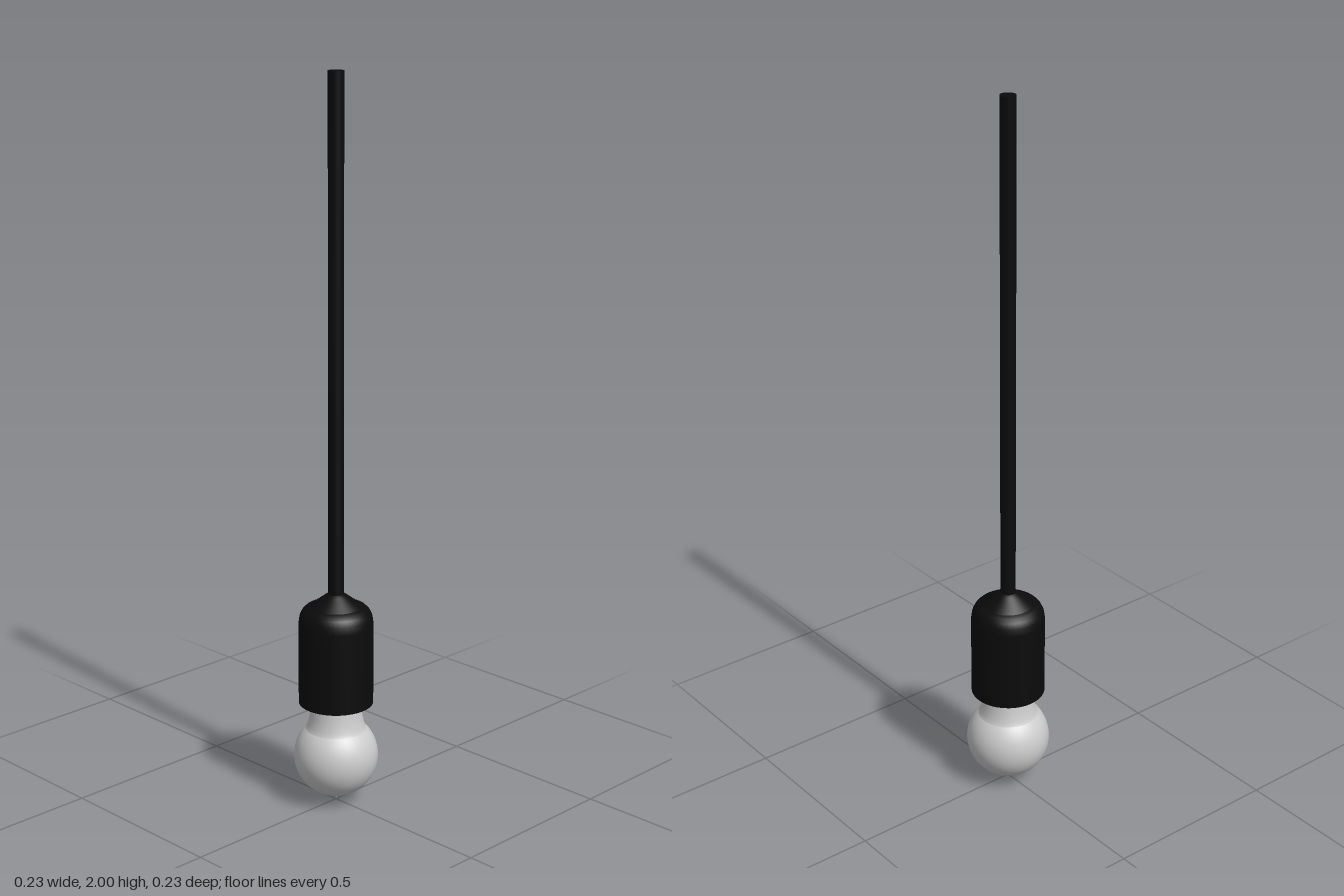
import * as THREE from 'three';

const SEGMENTS = 40;
const BLACK = 0x0b0b0b;

function part(name, geometry, color, side = THREE.FrontSide) {
  const mesh = new THREE.Mesh(geometry, new THREE.MeshStandardMaterial({ color, side }));
  mesh.name = name;
  return mesh;
}

// Revolve runs of [radius, y]; a separate run starts at every sharp edge.
function turned(name, runs, color) {
  const group = new THREE.Group();
  group.name = name;
  runs.forEach((run, i) => {
    const points = run.map(([r, y]) => new THREE.Vector2(r, y));
    group.add(part(`${name}Section${i + 1}`, new THREE.LatheGeometry(points, SEGMENTS), color, THREE.DoubleSide));
  });
  return group;
}

export function createModel() {
  const model = new THREE.Group();
  model.name = 'pendantLamp';

  // Hanging cable
  const cable = part('cable', new THREE.CylinderGeometry(0.021, 0.021, 1.42, 24), BLACK);
  cable.position.y = 1.29;
  model.add(cable);

  // Hollow lamp holder: inner roof and wall, lower rim, outer wall, shoulder, cable collar
  model.add(turned('socket', [
    [[0, 0.5], [0.092, 0.5]],
    [[0.092, 0.5], [0.092, 0.292]],
    [[0.092, 0.292], [0.102, 0.292]],
    [[0.102, 0.292], [0.102, 0.52], [0.099, 0.541], [0.092, 0.556], [0.083, 0.565], [0.07, 0.57]],
    [[0.07, 0.57], [0.03, 0.6], [0.021, 0.605]],
  ], BLACK));

  // Glass globe, cut where the neck joins it
  const globe = part('bulbGlobe', new THREE.SphereGeometry(0.116, SEGMENTS, 24, 0, Math.PI * 2, 0.8, Math.PI - 0.8), 0xcccccc, THREE.DoubleSide);
  globe.position.y = 0.136;
  model.add(globe);

  // Flared bulb neck, running up into the holder
  model.add(turned('bulbNeck', [
    [[0.084, 0.216], [0.078, 0.227], [0.073, 0.25], [0.067, 0.285], [0.064, 0.32], [0.06, 0.36], [0.06, 0.5]],
  ], 0xcccccc));

  // Small tip under the globe
  const tip = part('bulbTip', new THREE.ConeGeometry(0.006, 0.024, 12), 0xcccccc);
  tip.rotation.x = Math.PI;
  tip.position.y = 0.012;
  model.add(tip);

  return model;
}
